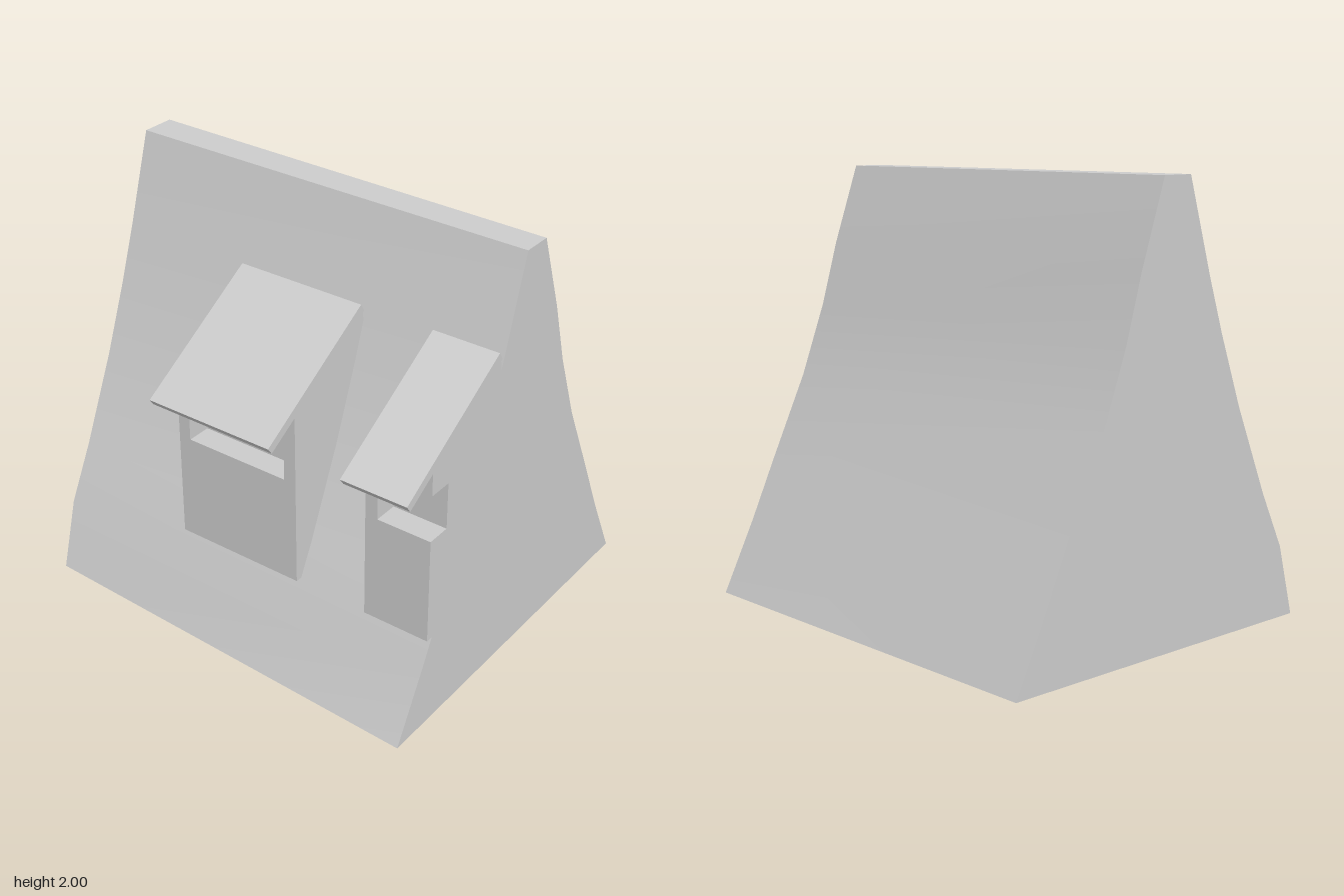
import * as THREE from 'three';
import { toCreasedNormals } from 'three/addons/utils/BufferGeometryUtils.js';

const material = new THREE.MeshStandardMaterial({ color: 0xcccccc });

// Extrudes an outline of [x, y] points from z0 to z1.
function prism(points, z0, z1) {
  const shape = new THREE.Shape(points.map(([x, y]) => new THREE.Vector2(x, y)));
  const geometry = new THREE.ExtrudeGeometry(shape, { depth: z1 - z0, bevelEnabled: false });
  return geometry.translate(0, 0, z0);
}

function add(parent, name, geometry) {
  const mesh = new THREE.Mesh(geometry, material);
  mesh.name = name;
  parent.add(mesh);
}

// Flared roof block: slightly wider at one corner, ridge rising to the back.
function roofGeometry() {
  const right = [[0.885, 0], [0.72, 0.34], [0.6, 0.6], [0.41, 1.0], [0.285, 1.33], [0.2, 1.62], [0.07, 2]];
  const left = [[-0.07, 2], [-0.2, 1.58], [-0.285, 1.33], [-0.41, 1.0], [-0.59, 0.59], [-0.72, 0.33], [-0.9, 0]];
  const geometry = prism([...right, ...left], -1, 1);
  const p = geometry.attributes.position;
  for (let i = 0; i < p.count; i++) {
    const x = p.getX(i), y = p.getY(i), back = (1 - p.getZ(i)) / 2;
    const shift = x > 0 ? 0.008 : y < 0.1 ? 0.08 : -0.01;
    p.setX(i, x + shift * back);
    if (y > 1.9) p.setY(i, y - 0.015 * (1 - back));
    if (y === 0 && x > 0) p.setY(i, 0.01 * (1 - back));
  }
  return toCreasedNormals(geometry, 0.4);
}

// Dormer whose window recess is cut only between the jambs.
function dormer(name, z0, z1, window0, window1) {
  const group = new THREE.Group();
  group.name = name;
  const inner = [[-0.22, 1.5], [-0.3, 0.44]];
  const head = [[-0.7, 1.274], [-0.23, 1.56]];
  const solid = [[-0.7, 0.44], ...head, ...inner].reverse();
  const cut = [[-0.7, 0.44], [-0.7, 0.945], [-0.585, 0.945], [-0.585, 1.165], [-0.7, 1.165], ...head, ...inner].reverse();
  add(group, 'backJamb', prism(solid, z0, window0));
  add(group, 'windowWall', prism(cut, window0, window1));
  if (window1 < z1) add(group, 'frontJamb', prism(solid, window1, z1));
  add(group, 'dormerRoof', prism([[-0.875, 1.21], [-0.852, 1.178], [-0.219, 1.564], [-0.242, 1.6]], z0, z1));
  return group;
}

export function createModel() {
  const model = new THREE.Group();
  model.name = 'steepRoof';
  add(model, 'mainRoof', roofGeometry());
  model.add(dormer('middleDormer', -0.32, 0.32, -0.26, 0.26));
  // The second dormer is sliced in half by the front gable.
  model.add(dormer('frontDormer', 0.68, 1, 0.74, 1));
  return model;
}
